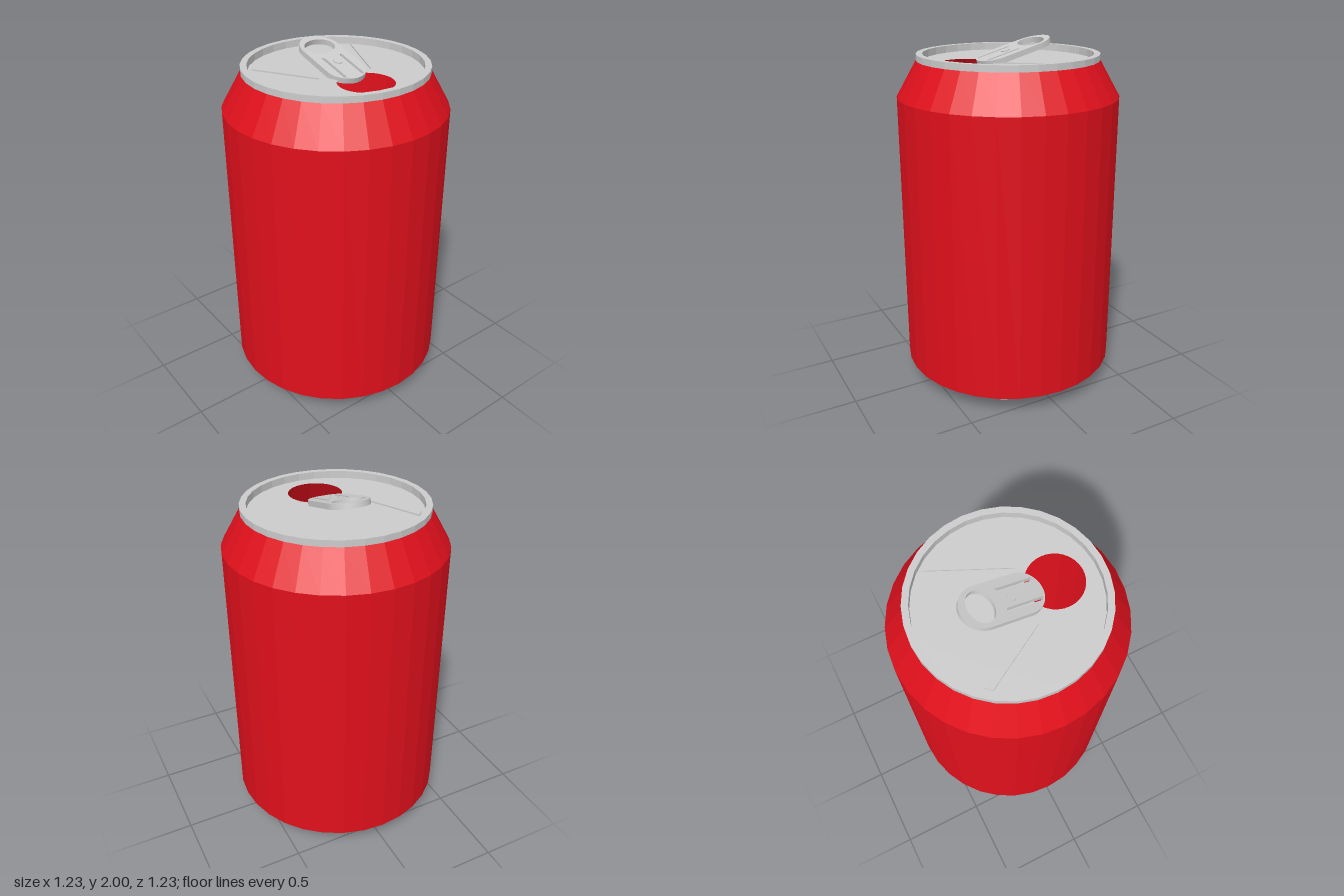
import * as THREE from 'three';

const SIDES = 32;
const LID_Y = 1.88;

export function createModel() {
  const can = new THREE.Group();
  can.name = 'drinkCan';

  const metal = new THREE.MeshStandardMaterial({ color: 0xcccccc, flatShading: true, side: THREE.DoubleSide });
  const red = new THREE.MeshStandardMaterial({ color: 0xe0101c, flatShading: true, side: THREE.DoubleSide });

  const add = (name, geometry, material, parent = can) => {
    const mesh = new THREE.Mesh(geometry, material);
    mesh.name = name;
    parent.add(mesh);
    return mesh;
  };
  const lathe = (points) => new THREE.LatheGeometry(points.map(([r, y]) => new THREE.Vector2(r, y)), SIDES);
  const polygon = (points, Type = THREE.Shape) => new Type(points.map(([x, y]) => new THREE.Vector2(x, y)));

  // Painted wall with its sloping shoulder
  add('body', lathe([[0.617, 0.11], [0.617, 1.69], [0.505, 1.885]]), red);

  // Bare base: tapered skirt, standing ring and recessed floor
  add('base', lathe([[0, 0.03], [0.44, 0.03], [0.445, 0], [0.46, 0], [0.46, 0.03], [0.617, 0.11]]), metal);

  // Raised rim around the lid
  add('rim', lathe([[0.505, 1.885], [0.505, 1.92], [0.47, 1.92], [0.47, LID_Y]]), metal);

  // Lid with the drinking hole
  const lidShape = polygon(Array.from({ length: SIDES }, (_, i) => {
    const a = (i / SIDES) * Math.PI * 2;
    return [0.47 * Math.cos(a), 0.47 * Math.sin(a)];
  }));
  lidShape.holes.push(new THREE.Path().absarc(0.253, 0, 0.15, 0, Math.PI * 2, true));
  const lid = add('lid', new THREE.ShapeGeometry(lidShape, 16), metal);
  lid.rotation.x = -Math.PI / 2;
  lid.position.y = LID_Y;

  // Two stiffening wedges pressed into the lid, pointing at the hole
  const wedge = (name, corners) => {
    const shape = polygon(corners.map(([x, z]) => [x, -z]));
    const geometry = new THREE.ExtrudeGeometry(shape, { depth: 0.008, bevelEnabled: false });
    const mesh = add(name, geometry, metal);
    mesh.rotation.x = -Math.PI / 2;
    mesh.position.y = LID_Y;
  };
  wedge('backLidWedge', [[-0.255, -0.368], [-0.298, -0.334], [0.113, -0.146]]);
  wedge('frontLidWedge', [[-0.295, 0.331], [-0.258, 0.364], [0.076, 0.166]]);

  // Pull tab, tilted down toward the hole; its upper face is local y = 0
  const tab = new THREE.Group();
  tab.name = 'pullTab';
  tab.position.set(-0.246, 2.0, 0);
  tab.rotation.z = -THREE.MathUtils.degToRad(15);
  can.add(tab);

  const outline = new THREE.Shape();
  outline.moveTo(0.12, -0.115);
  outline.lineTo(0.34, -0.115);
  outline.absellipse(0.34, 0, 0.103, 0.115, -Math.PI / 2, Math.PI / 2, false);
  outline.lineTo(0.12, 0.115);
  outline.absellipse(0.12, 0, 0.12, 0.115, Math.PI / 2, Math.PI * 1.5, false);
  outline.holes.push(new THREE.Path().absellipse(0.108, 0, 0.068, 0.09, 0, Math.PI * 2, true));
  // Slits on both sides of the rivet
  for (const s of [-1, 1]) {
    outline.holes.push(polygon([[0.213, s * 0.066], [0.415, s * 0.066], [0.42, s * 0.048], [0.225, s * 0.048]], THREE.Path));
  }
  const plate = add('tabPlate',
    new THREE.ExtrudeGeometry(outline, { depth: 0.03, bevelEnabled: false, curveSegments: 14 }), metal, tab);
  plate.rotation.x = -Math.PI / 2;
  plate.position.y = -0.03;

  const rivet = add('rivet', new THREE.CylinderGeometry(0.025, 0.025, 0.05, 16), metal, tab);
  rivet.position.set(0.272, -0.02, 0);

  return can;
}
